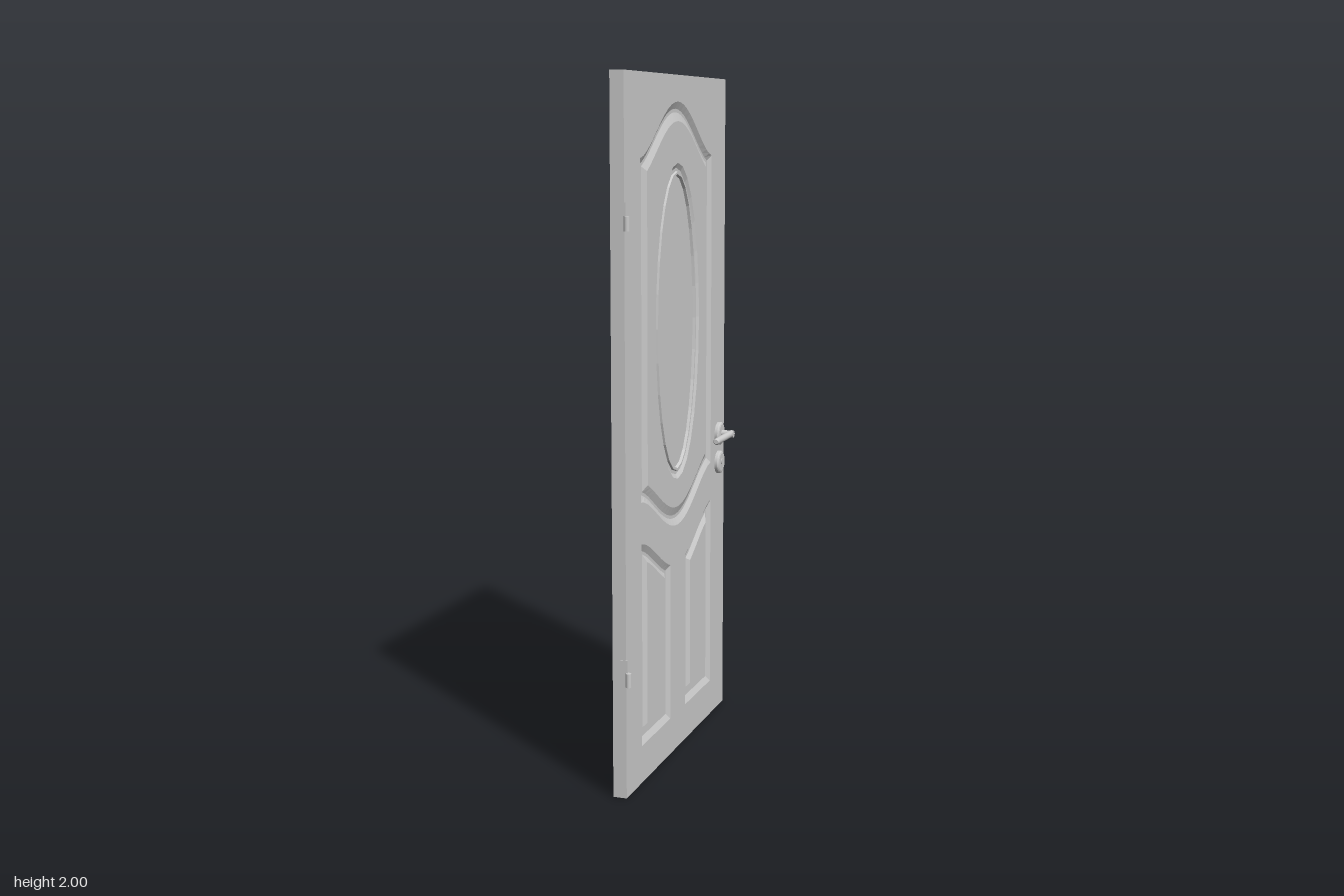
import * as THREE from 'three';
import { mergeGeometries } from 'three/addons/utils/BufferGeometryUtils.js';

const HALF = 0.02;                 // half the door thickness
const grey = new THREE.MeshStandardMaterial({ color: 0xcccccc });
const flat = new THREE.MeshStandardMaterial({ color: 0xcccccc, flatShading: true });

const V = (x, y) => new THREE.Vector2(x, y);

// ogee wave: 1 in the middle of the door, 0 at the panel sides
const wave = u => Math.pow(Math.max(0, (1 + Math.cos(Math.PI * Math.min(1, Math.abs(u) / 0.318))) / 2), 0.8);

// counter-clockwise outline between two sides, a bottom curve and a top curve
function outline(u0, u1, bottom, top, n = 16) {
  const low = [], high = [];
  for (let i = 0; i <= n; i++) {
    const u = u0 + (u1 - u0) * i / n;
    low.push(V(u, bottom(u)));
    high.unshift(V(u, top(u)));
  }
  return [...low, ...high];
}

const upperRing = t => outline(-0.318 + t, 0.318 - t,
  u => 0.82 - 0.13 * wave(u) + t, u => 1.77 + 0.155 * wave(u) - t, 24);
const lowerRing = sign => (t, b = t) => {
  const a = sign * 0.068, c = sign * 0.318;
  return outline(Math.min(a, c) + t, Math.max(a, c) - t, () => 0.11 + b, u => 0.70 - 0.13 * wave(u) - t, 12);
};
function ellipse(rx, ry) {
  return Array.from({ length: 28 }, (_, i) => {
    const a = i / 28 * Math.PI * 2;
    return V(rx * Math.cos(a), 1.29 + ry * Math.sin(a));
  });
}

// band of quads joining two outlines of equal count at two depths
function strip(a, wa, b, wb) {
  const p = [], n = a.length;
  for (let i = 0; i < n; i++) {
    const j = (i + 1) % n;
    const A = [a[i].x, a[i].y, wa], B = [a[j].x, a[j].y, wa];
    const C = [b[j].x, b[j].y, wb], D = [b[i].x, b[i].y, wb];
    p.push(...A, ...B, ...C, ...A, ...C, ...D);
  }
  const g = new THREE.BufferGeometry();
  g.setAttribute('position', new THREE.Float32BufferAttribute(p, 3));
  g.computeVertexNormals();
  return g;
}

const bands = rings => mergeGeometries(rings.slice(1).map((r, i) => strip(rings[i][0], rings[i][1], r[0], r[1])));

function plate(points, w, holes = []) {
  const shape = new THREE.Shape(points);
  holes.forEach(h => shape.holes.push(new THREE.Path(h)));
  return new THREE.ShapeGeometry(shape).translate(0, 0, w);
}

function add(parent, name, geometry, material = grey) {
  const m = new THREE.Mesh(geometry, material);
  m.name = name;
  parent.add(m);
  return m;
}

// one moulded face of the door, built facing local +z
function doorFace(side) {
  const face = new THREE.Group();
  face.name = side > 0 ? 'leftFace' : 'rightFace';
  const [u0, u1] = side > 0 ? [-0.443, 0.455] : [-0.455, 0.443];
  const rect = [V(u0, 0), V(u1, 0), V(u1, 2), V(u0, 2)];
  const deep = HALF - 0.009;
  const lowers = [lowerRing(-1), lowerRing(1)];
  add(face, 'faceBoard', plate(rect, HALF, [upperRing(0), ...lowers.map(f => f(0))]), flat);

  // upper panel with its groove
  add(face, 'upperMoulding', bands([[upperRing(0), HALF], [upperRing(0.02), deep],
    [upperRing(0.03), deep], [upperRing(0.055), HALF]]), flat);
  add(face, 'upperPanel', plate(upperRing(0.055), HALF, [ellipse(0.197, 0.462)]), flat);

  // oval window with a raised bead
  add(face, 'ovalFrame', bands([[ellipse(0.197, 0.462), HALF], [ellipse(0.184, 0.449), HALF - 0.007],
    [ellipse(0.174, 0.439), HALF - 0.007], [ellipse(0.172, 0.437), HALF - 0.001],
    [ellipse(0.165, 0.43), HALF - 0.001], [ellipse(0.162, 0.427), HALF - 0.009]]), flat);
  add(face, 'ovalPane', plate(ellipse(0.162, 0.427), HALF - 0.009), flat);

  // two lower panels, with a steeper lip along the bottom
  for (const ring of lowers) {
    add(face, 'lowerMoulding', bands([[ring(0), HALF], [ring(0.02), deep],
      [ring(0.03, 0.045), deep], [ring(0.048, 0.054), HALF]]), flat);
    add(face, 'lowerPanel', plate(ring(0.048, 0.054), HALF), flat);
  }
  face.rotation.y = side * Math.PI / 2;
  return face;
}

// round plate standing on the door face
function rosette(side, y, z) {
  const profile = [V(0.036, 0), V(0.036, 0.009), V(0.033, 0.012), V(0.028, 0.014), V(0.0001, 0.014)];
  const g = mergeGeometries(profile.slice(1).map((p, i) => new THREE.LatheGeometry([profile[i], p], 24)));
  return g.rotateZ(-side * Math.PI / 2).translate(side * HALF, y, z);
}

function handle(side) {
  const group = new THREE.Group();
  group.name = side > 0 ? 'leftHandle' : 'rightHandle';
  const z = -0.393;
  add(group, 'handleRosette', rosette(side, 0.9, z));
  add(group, 'handleNeck', new THREE.CylinderGeometry(0.011, 0.011, 0.042, 16)
    .rotateZ(Math.PI / 2).translate(side * 0.051, 0.9, z));
  // lever with a chamfered tip
  const lever = [V(0.0001, 0), V(0.0105, 0), V(0.0105, 0.158), V(0.007, 0.164), V(0.0001, 0.164)];
  const g = mergeGeometries(lever.slice(1).map((p, i) => new THREE.LatheGeometry([lever[i], p], 16)));
  add(group, 'lever', g.rotateX(Math.PI / 2).translate(side * 0.062, 0.9, -0.404));
  // lock plate with its cylinder and key bar
  add(group, 'lockRosette', rosette(side, 0.808, z));
  add(group, 'lockBarrel', new THREE.CylinderGeometry(0.01, 0.01, 0.004, 16)
    .rotateZ(Math.PI / 2).translate(side * 0.034, 0.811, z));
  add(group, 'lockBar', new THREE.BoxGeometry(0.003, 0.018, 0.008).translate(side * 0.034, 0.8, z));
  return group;
}

function hinge(y) {
  const group = new THREE.Group();
  group.name = 'hinge';
  add(group, 'knuckle', new THREE.CylinderGeometry(0.008, 0.008, 0.04, 16).translate(0.028, y, 0.446));
  add(group, 'leaf', new THREE.BoxGeometry(0.026, 0.075, 0.003).translate(0.011, y + 0.018, 0.4435));
  return group;
}

export function createModel() {
  const door = new THREE.Group();
  door.name = 'door';
  // narrow edges all round the slab
  const rect = [V(-0.443, 0), V(0.455, 0), V(0.455, 2), V(-0.443, 2)];
  add(door, 'slabEdges', strip(rect, -HALF, rect, HALF).rotateY(Math.PI / 2), flat);
  for (const side of [1, -1]) door.add(doorFace(side), handle(side));
  for (const y of [0.345, 1.6]) door.add(hinge(y));
  return door;
}
